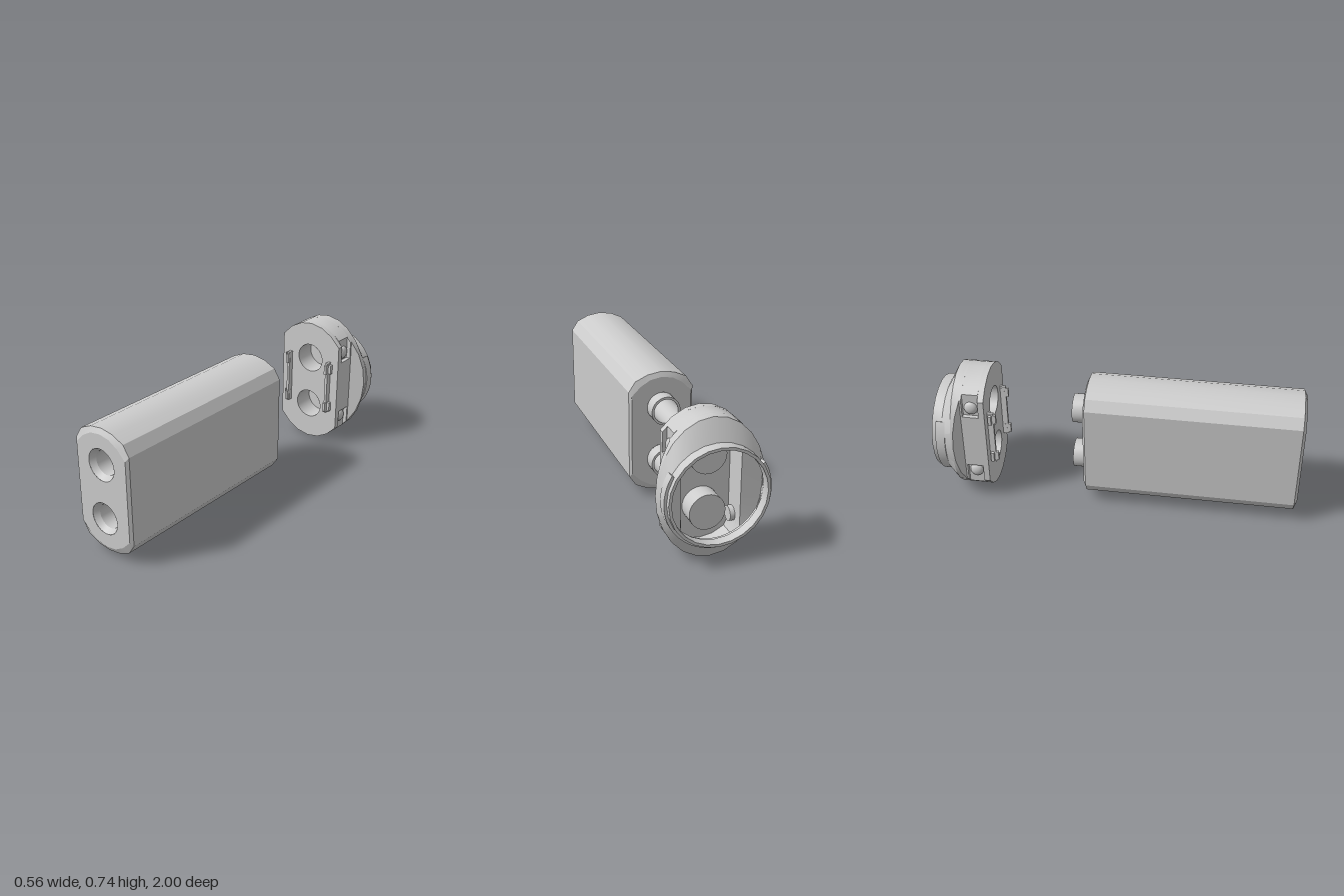
import * as THREE from 'three';
import { toCreasedNormals } from 'three/addons/utils/BufferGeometryUtils.js';

const CY = 0.37; // height of the common axis
const HOLES = [0.218, 0.52]; // heights of the two ports
const mat = new THREE.MeshStandardMaterial({ color: 0xcccccc, side: THREE.DoubleSide });

function add(parent, name, geo, x = 0, y = 0, z = 0) {
  const m = new THREE.Mesh(geo, mat);
  m.name = name;
  m.position.set(x, y, z);
  parent.add(m);
  return m;
}

// Mirror a quarter outline (from +x axis to +y axis) into a full loop
function fullLoop(q) {
  const n = q.length, out = [];
  const fwd = q.slice(0, n - 1), back = q.slice(1).reverse();
  fwd.forEach(([x, y]) => out.push([x, CY + y]));
  back.forEach(([x, y]) => out.push([-x, CY + y]));
  fwd.forEach(([x, y]) => out.push([-x, CY - y]));
  back.forEach(([x, y]) => out.push([x, CY - y]));
  return out;
}

// 24-sided ellipse, optionally flattened at |x| = clip
function ellipse(rx, ry, clip = 9) {
  return Array.from({ length: 24 }, (_, i) => {
    const a = (i * Math.PI) / 12;
    const x = rx * Math.cos(a);
    return [Math.max(-clip, Math.min(clip, x)), CY + ry * Math.sin(a)];
  });
}

const atZ = (loop, z) => loop.map(([x, y]) => [x, y, z]);

// Skin closed rings of equal count, running from front to back
function loft(rings) {
  const pos = [];
  for (let i = 0; i < rings.length - 1; i++) {
    const n = rings[i].length;
    for (let j = 0; j < n; j++) {
      const k = (j + 1) % n;
      const a = rings[i][j], b = rings[i][k], c = rings[i + 1][k], d = rings[i + 1][j];
      pos.push(...a, ...d, ...b, ...d, ...c, ...b);
    }
  }
  const g = new THREE.BufferGeometry();
  g.setAttribute('position', new THREE.Float32BufferAttribute(pos, 3));
  return toCreasedNormals(g, 0.42);
}

const toVec = (loop) => loop.map(([x, y]) => new THREE.Vector2(x, y));

function shapeOf(loop, holeR = 0, cavity = null) {
  const s = new THREE.Shape(toVec(loop));
  if (holeR) {
    HOLES.forEach((y) => s.holes.push(new THREE.Path().absarc(0, y, holeR, 0, Math.PI * 2, true)));
  }
  if (cavity) s.holes.push(new THREE.Path(toVec(cavity)));
  return s;
}

function slab(shape, zFront, zBack) {
  const g = new THREE.ExtrudeGeometry(shape, { depth: zFront - zBack, bevelEnabled: false, curveSegments: 32 });
  return toCreasedNormals(g.translate(0, 0, zBack), 0.42);
}

// Turned part along z; profile is [radius, z]
function turned(profile, y) {
  const g = new THREE.LatheGeometry(profile.map(([r, z]) => new THREE.Vector2(r, z)), 32);
  return toCreasedNormals(g.rotateX(Math.PI / 2).translate(0, y, 0), 0.42);
}

function buildBody() {
  const body = new THREE.Group();
  body.name = 'body';
  const outer = fullLoop([[0.18, 0], [0.18, 0.246], [0.143, 0.302], [0.074, 0.333], [0, 0.344]]);
  const inset = fullLoop([[0.167, 0], [0.167, 0.225], [0.117, 0.275], [0.062, 0.307], [0, 0.317]]);
  add(body, 'bodyShell', loft([atZ(inset, 1), atZ(outer, 0.985), atZ(outer, -0.168), atZ(inset, -0.18)]));
  add(body, 'frontFace', new THREE.ShapeGeometry(shapeOf(inset, 0.087), 32), 0, 0, 1);
  const rear = new THREE.ShapeGeometry(shapeOf(inset, 0.08), 32).rotateY(Math.PI);
  add(body, 'rearFace', rear, 0, 0, -0.18);
  // countersunk bores that run out into the rear spigots
  HOLES.forEach((y) => add(body, 'boreAndSpigot', turned(
    [[0.087, 1], [0.067, 0.97], [0.067, -0.255], [0.08, -0.255], [0.08, -0.18]], y)));
  return body;
}

function buildCap() {
  const cap = new THREE.Group();
  cap.name = 'endCap';
  const flat = ellipse(0.282, 0.37, 0.2);
  const notched = fullLoop([[0.2, 0], [0.2, 0.16], [0.175, 0.16], [0.175, 0.29],
    [0.141, 0.32], [0.073, 0.357], [0, 0.37]]);
  const cavity = ellipse(0.265, 0.345, 0.155);

  // front plate, screw-pocket layer and collar layer
  add(cap, 'capPlate', slab(shapeOf(flat, 0.085), -0.712, -0.745));
  add(cap, 'pocketWall', slab(shapeOf(notched, 0, cavity), -0.745, -0.835));
  add(cap, 'capWall', slab(shapeOf(flat, 0, cavity), -0.835, -0.845));

  // ramped flange, cone, round rim and hollow inside
  const wide = ellipse(0.282, 0.37);
  const ramp = wide.map(([x, y]) => [x, y, -0.845 - Math.max(0, Math.abs(x) - 0.2) * 0.4]);
  add(cap, 'capHousing', loft([
    atZ(flat, -0.845), ramp, atZ(wide, -0.887),
    atZ(ellipse(0.262, 0.262), -0.945), atZ(ellipse(0.26, 0.26), -1),
    atZ(ellipse(0.245, 0.245), -1), atZ(ellipse(0.245, 0.245), -0.945),
    atZ(ellipse(0.265, 0.345), -0.89), atZ(cavity, -0.885), atZ(cavity, -0.845),
  ]));

  // stepped locking collar around the lower part of the rim
  const arc = new THREE.Shape();
  arc.absarc(0, CY, 0.274, Math.PI - 0.54, 2 * Math.PI + 0.54, false);
  arc.absarc(0, CY, 0.25, 2 * Math.PI + 0.54, Math.PI - 0.54, true);
  add(cap, 'lockingCollar', slab(arc, -0.925, -0.975));

  // blind cups behind the two ports
  HOLES.forEach((y) => add(cap, 'portCup', turned(
    [[0.085, -0.712], [0.085, -0.835], [0, -0.835], [0, -0.845], [0.095, -0.845], [0.095, -0.745]], y)));

  for (const s of [1, -1]) {
    // contact rail with two hooks on the front plate
    add(cap, 'clipRail', new THREE.BoxGeometry(0.016, 0.32, 0.034), s * 0.14, CY, -0.697);
    for (const t of [1, -1]) {
      add(cap, 'clipHook', new THREE.BoxGeometry(0.016, 0.055, 0.022), s * 0.14, CY + t * 0.122, -0.677);
      add(cap, 'clipFoot', new THREE.BoxGeometry(0.034, 0.055, 0.018), s * 0.148, CY + t * 0.122, -0.697);
      // screw in its side pocket, with a boss on the inner wall
      const y = CY + t * 0.207;
      const head = add(cap, 'screwHead', new THREE.SphereGeometry(0.038, 20, 10, 0, Math.PI * 2, 0, Math.PI / 2), s * 0.174, y, -0.79);
      head.rotation.z = -s * Math.PI / 2;
      head.scale.y = 0.6;
      const boss = add(cap, 'screwBoss', new THREE.CylinderGeometry(0.04, 0.04, 0.03, 20), s * 0.145, y, -0.79);
      boss.rotation.z = Math.PI / 2;
    }
  }
  return cap;
}

export function createModel() {
  const model = new THREE.Group();
  model.name = 'twinPortCartridge';
  model.add(buildBody(), buildCap());
  return model;
}
